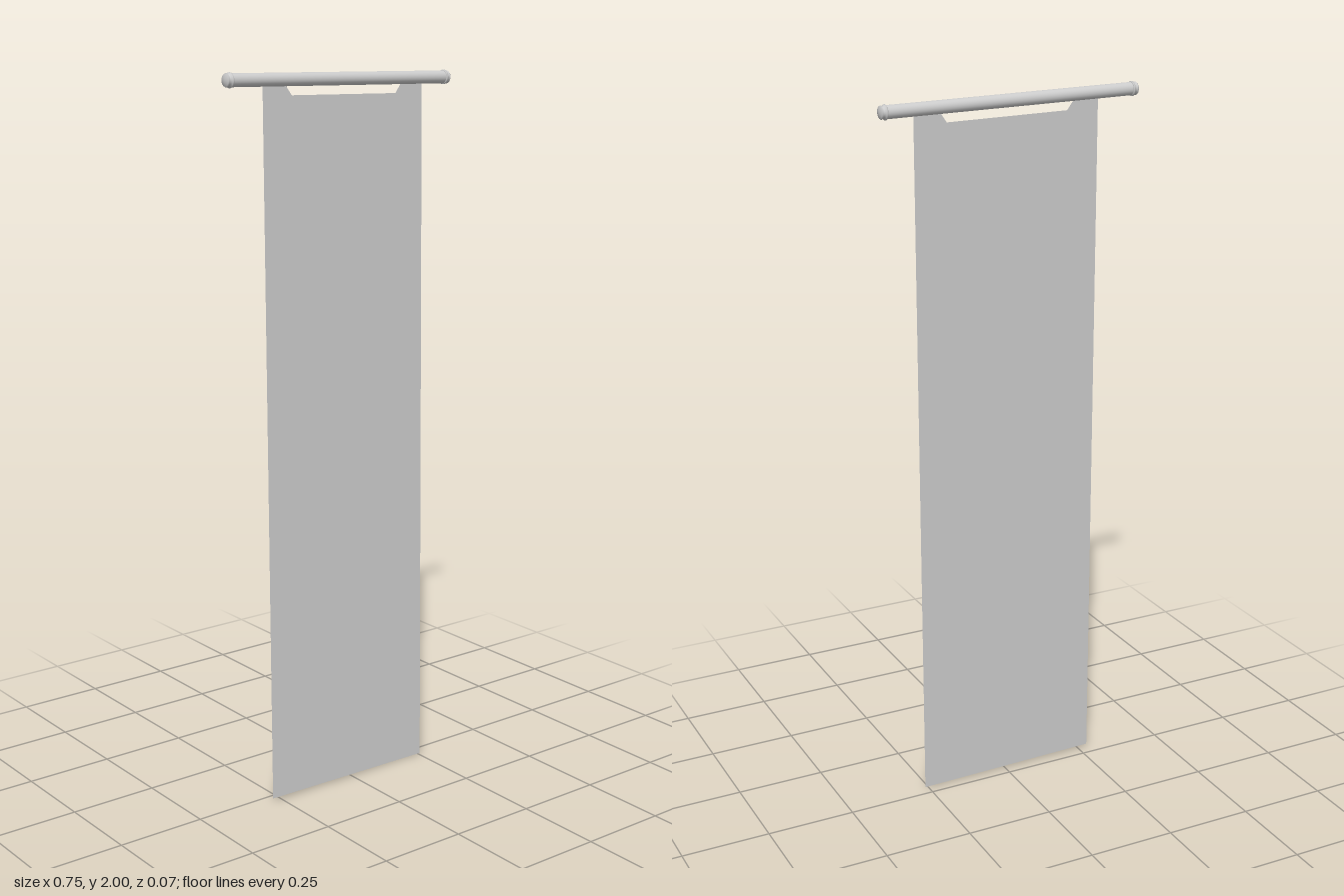
import * as THREE from 'three';

export function createModel() {
  const model = new THREE.Group();
  model.name = 'hangingBanner';
  const material = new THREE.MeshStandardMaterial({ color: 0xcccccc });
  const clothMaterial = new THREE.MeshStandardMaterial({ color: 0xcccccc, side: THREE.DoubleSide });

  // Pole assembly, tipped slightly down towards +x
  const pole = new THREE.Group();
  pole.name = 'pole';
  pole.position.set(0, 1.979, -0.0145);
  pole.rotation.z = -0.0165;
  model.add(pole);

  const rod = new THREE.Mesh(new THREE.CylinderGeometry(0.0175, 0.0175, 0.71, 24, 1, true), material);
  rod.name = 'rod';
  rod.rotation.z = Math.PI / 2;
  pole.add(rod);

  // Turned finial at each end: collar, neck, flared cap
  const profile = [
    [0, 0.353], [0.0175, 0.353], [0.02, 0.355], [0.02, 0.358], [0.014, 0.362],
    [0.018, 0.367], [0.016, 0.37], [0.006, 0.373], [0, 0.373],
  ].map(([r, y]) => new THREE.Vector2(r, y));
  for (const side of [-1, 1]) {
    const finial = new THREE.Mesh(new THREE.LatheGeometry(profile, 24), material);
    finial.name = side > 0 ? 'leftFinial' : 'rightFinial';
    finial.rotation.z = -side * Math.PI / 2;
    pole.add(finial);
  }

  // Cloth sheet with a cut-out below the rod, leaving a hanging tab on each side
  const outline = [
    [-0.278, 0.011], [0.258, 0.002], [0.278, 1.972], [0.212, 1.973],
    [0.204, 1.962], [0.185, 1.935], [-0.163, 1.941], [-0.183, 1.968],
    [-0.19, 1.98], [-0.255, 1.981],
  ].map(([x, y]) => new THREE.Vector2(x, y));
  const sheet = new THREE.ShapeGeometry(new THREE.Shape(outline));

  // Lean the sheet forward towards the bottom edge
  const p = sheet.attributes.position;
  for (let i = 0; i < p.count; i++) p.setZ(i, 0.033 - 0.0235 * p.getY(i));
  sheet.computeVertexNormals();
  const cloth = new THREE.Mesh(sheet, clothMaterial);
  cloth.name = 'cloth';
  model.add(cloth);

  return model;
}
